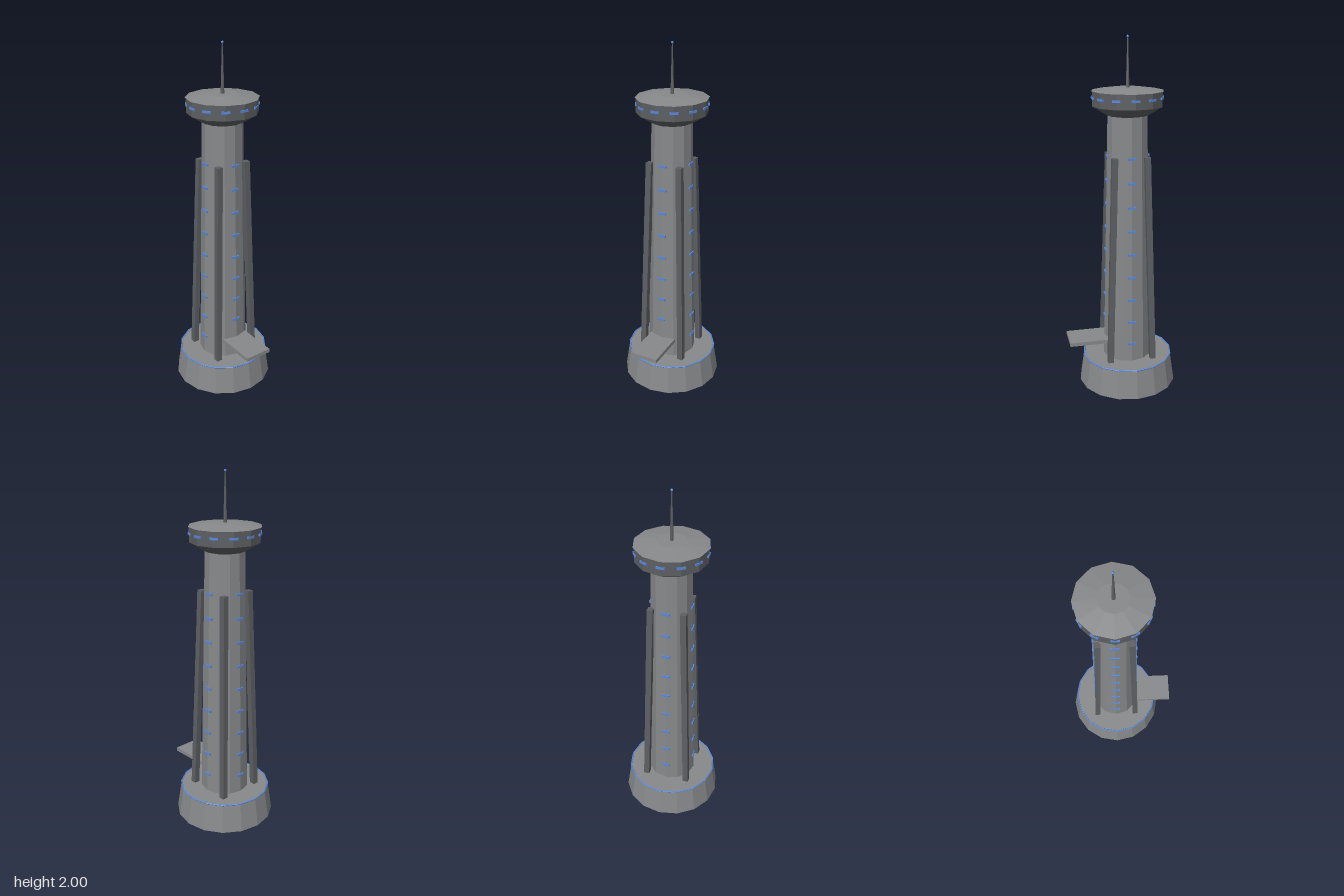
import * as THREE from 'three';

export function createModel() {
  const material = (name, color) => {
    const m = new THREE.MeshStandardMaterial({ color, flatShading: true });
    m.name = name;
    return m;
  };
  const concrete = material('concrete grey', 0x86888a);
  const steel = material('dark steel', 0x5c5f62);
  const glow = material('blue light', 0x5588dd);

  const model = new THREE.Group();
  model.name = 'controlTower';
  const tower = new THREE.Group();
  tower.name = 'tower';
  tower.position.z = -0.035;
  model.add(tower);

  const add = (name, geometry, mat, x = 0, y = 0, z = 0, parent = tower) => {
    const mesh = new THREE.Mesh(geometry, mat);
    mesh.name = name;
    mesh.position.set(x, y, z);
    parent.add(mesh);
    return mesh;
  };
  // Straight or tapered round part standing between two heights
  const drum = (name, rTop, rBottom, y0, y1, sides, mat) =>
    add(name, new THREE.CylinderGeometry(rTop, rBottom, y1 - y0, sides), mat, 0, (y0 + y1) / 2, 0);

  // Foundation with a thin light ring around its rim
  drum('base', 0.26, 0.285, 0, 0.167, 16, concrete);
  const ring = add('baseLightRing', new THREE.TorusGeometry(0.26, 0.004, 6, 16), glow, 0, 0.167, 0);
  ring.rotation.x = Math.PI / 2;

  // Tapered shaft
  const shaftBottom = 0.167, shaftTop = 1.59, rBottom = 0.14, rTop = 0.111;
  drum('shaft', rTop, rBottom, shaftBottom, shaftTop, 12, concrete);
  const shaftRadius = y => THREE.MathUtils.mapLinear(y, shaftBottom, shaftTop, rBottom, rTop);

  // Lookout pod, low roof and antenna
  drum('podUnderside', 0.194, 0.113, 1.583, 1.632, 12, steel);
  drum('podWall', 0.194, 0.194, 1.632, 1.713, 12, steel);
  drum('roof', 0.08, 0.199, 1.713, 1.73, 12, concrete);
  drum('antenna', 0.003, 0.01, 1.73, 1.985, 8, steel);
  add('antennaLight', new THREE.SphereGeometry(0.007, 8, 6), glow, 0, 1.993, 0);

  // Lit window slots facing outwards
  const slot = (name, angle, radius, y) => {
    const mesh = add(name, new THREE.BoxGeometry(0.045, 0.012, 0.009), glow,
      Math.sin(angle) * radius, y, Math.cos(angle) * radius);
    mesh.rotation.y = angle;
  };
  for (let level = 0; level < 9; level++) {
    const y = 0.275 + level * 0.1357;
    for (let i = 0; i < 4; i++) slot('shaftWindow', i * Math.PI / 2, shaftRadius(y) - 0.001, y);
  }
  for (let i = 0; i < 12; i++) slot('podWindow', i * Math.PI / 6, 0.192, 1.677);

  // Four square corner buttresses, leaning inwards
  const lean = 0.035;
  for (const sx of [-1, 1]) for (const sz of [-1, 1]) {
    const geometry = new THREE.BoxGeometry(0.033, 1.2, 0.033);
    const p = geometry.attributes.position;
    for (let i = 0; i < p.count; i++) {
      const inward = p.getY(i) > 0 ? lean : 0;
      p.setX(i, p.getX(i) - sx * inward);
      p.setZ(i, p.getZ(i) - sz * inward);
    }
    geometry.computeVertexNormals();
    add('buttress', geometry, steel, sx * 0.125, 0.763, sz * 0.125);
  }

  // Entrance platform on the front
  add('platform', new THREE.BoxGeometry(0.162, 0.022, 0.237), concrete, 0, 0.276, 0.1985, model);

  return model;
}
